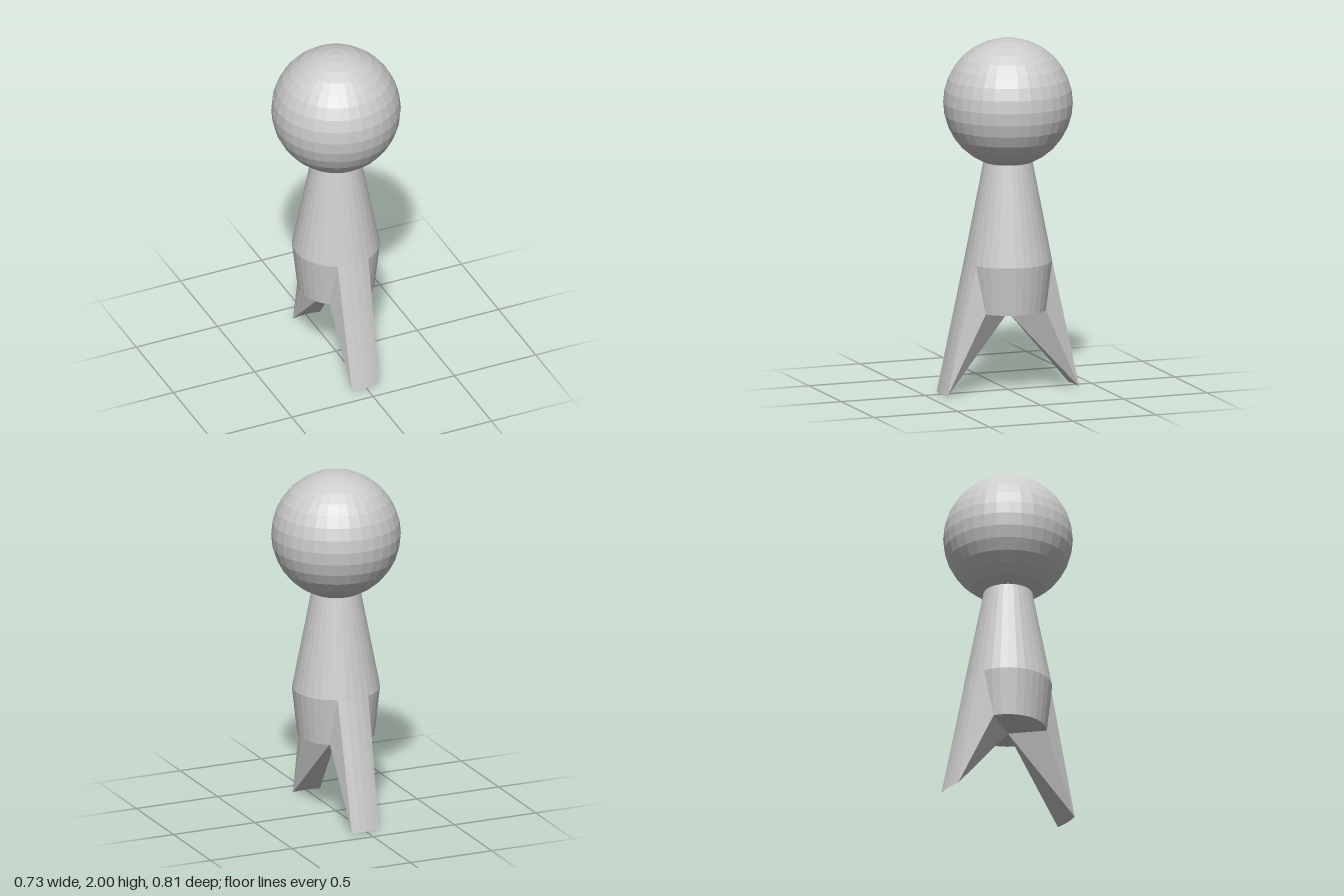
import * as THREE from 'three';

const SIDES = 32;
const material = new THREE.MeshStandardMaterial({ color: 0xcccccc, flatShading: true });

// Point on a circle about the y axis, with the angle measured from +z
const polar = (r, y, a) => new THREE.Vector3(r * Math.sin(a), y, r * Math.cos(a));

function addMesh(parent, name, geometry) {
  const mesh = new THREE.Mesh(geometry, material);
  mesh.name = name;
  parent.add(mesh);
  return mesh;
}

// A wedge flaring out of the body and ending in a thin curved edge on the ground
function legGeometry() {
  const step = (Math.PI * 2) / SIDES;
  const columns = 4;
  const top = [], foot = [];
  for (let i = 0; i <= columns; i++) {
    const t = (i / columns) * 2 - 1;
    top.push(polar(0.247, 0.735, t * 2 * step));
    foot.push(polar(0.405, 0, t * 1.05 * step));
  }
  const crotch = new THREE.Vector3(0, 0.44, 0);
  const hipLeft = polar(0.217, 0.46, 3 * step);
  const hipRight = polar(0.217, 0.46, -3 * step);

  const points = [];
  const tri = (...p) => points.push(...p);
  for (let i = 0; i < columns; i++) {
    // outer shell
    tri(top[i], foot[i], foot[i + 1]);
    tri(top[i], foot[i + 1], top[i + 1]);
    // inner face
    tri(crotch, foot[i + 1], foot[i]);
  }
  // side and underside triangles
  tri(top[columns], foot[columns], hipLeft);
  tri(foot[columns], crotch, hipLeft);
  tri(top[0], hipRight, foot[0]);
  tri(foot[0], hipRight, crotch);

  const geometry = new THREE.BufferGeometry().setFromPoints(points);
  geometry.computeVertexNormals();
  return geometry;
}

export function createModel() {
  const model = new THREE.Group();
  model.name = 'figure';

  // Round head
  const head = addMesh(model, 'head', new THREE.SphereGeometry(0.363, SIDES, 16));
  head.position.y = 1.637;

  // Tapered body with a shallow cone underneath
  const profile = [[0, 0.44], [0.217, 0.46], [0.247, 0.735], [0.137, 1.305]]
    .map(([r, y]) => new THREE.Vector2(r, y));
  addMesh(model, 'body', new THREE.LatheGeometry(profile, SIDES));

  // Front and back legs
  const leg = legGeometry();
  addMesh(model, 'frontLeg', leg);
  addMesh(model, 'backLeg', leg).rotation.y = Math.PI;

  return model;
}
